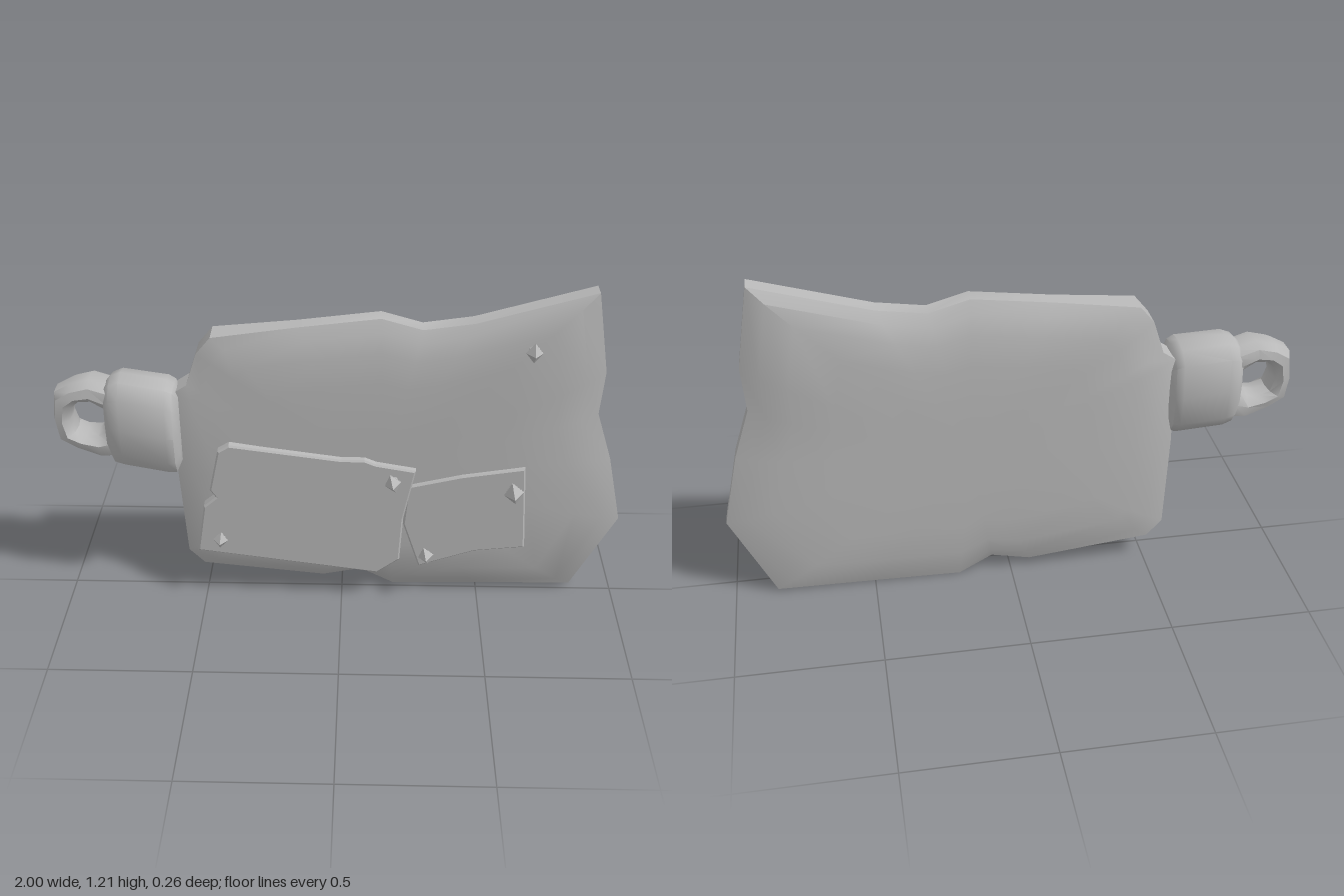
import * as THREE from 'three';
import { toCreasedNormals } from 'three/addons/utils/BufferGeometryUtils.js';

const metal = new THREE.MeshStandardMaterial({ color: 0xb8b8b8 });
metal.name = 'grey metal';

// Skin a list of equal-length rings of [x, y, z]; either cap the ends or join them
function loft(rings, closed, crease = 0.6) {
  const n = rings[0].length, m = rings.length, index = [];
  const points = rings.flat();
  for (let j = 0; j < (closed ? m : m - 1); j++) {
    const a = j * n, b = ((j + 1) % m) * n;
    for (let i = 0; i < n; i++) {
      const k = (i + 1) % n;
      index.push(a + i, a + k, b + k, a + i, b + k, b + i);
    }
  }
  if (!closed) {
    for (const end of [0, m - 1]) {
      const c = points.length;
      points.push([0, 1, 2].map((d) => rings[end].reduce((s, p) => s + p[d], 0) / n));
      for (let i = 0; i < n; i++) {
        const p = end * n + i, q = end * n + (i + 1) % n;
        index.push(c, ...(end === 0 ? [q, p] : [p, q]));
      }
    }
  }
  const g = new THREE.BufferGeometry();
  g.setAttribute('position', new THREE.Float32BufferAttribute(points.flat(), 3));
  g.setIndex(index);
  return toCreasedNormals(g, crease);
}

function add(parent, name, geometry) {
  const mesh = new THREE.Mesh(geometry, metal);
  mesh.name = name;
  parent.add(mesh);
  return mesh;
}

// Blade: the outline shrinks towards the middle while the faces swell
function bladeGeometry() {
  const outline = [
    [-0.575, 0.83], [-0.53, 0.86], [-0.49, 0.98], [-0.44, 1.04], [-0.15, 1.075], [0.13, 1.11],
    [0.27, 1.07], [0.44, 1.095], [0.84, 1.21], [0.89, 0.92], [0.88, 0.76], [0.94, 0.58],
    [1.0, 0.32], [0.85, 0.015], [0.5, 0.01], [0.19, 0.005], [0.07, 0.07], [-0.07, 0.04],
    [-0.51, 0.1], [-0.565, 0.16], [-0.58, 0.5],
  ];
  const [cx, cy] = [0.15, 0.56];
  const levels = [[0.3, 1], [0.6, 0.97], [0.8, 0.8], [0.92, 0.45], [1, 0]];
  const ring = (t, swell, side) => outline.map(([px, py]) => {
    const x = cx + (px - cx) * t, y = cy + (py - cy) * t;
    const mid = -0.05 + 0.025 * Math.min(1, py / 0.6);
    const rim = mid + side * (px < -0.4 ? 0.045 : 0.03);
    const full = side > 0 ? 0.053 : -0.113;
    return [x, y, rim + (full - rim) * swell];
  });
  return loft([
    ...levels.map(([t, s]) => ring(t, s, 1)),
    ...levels.reverse().map(([t, s]) => ring(t, s, -1)),
  ], false, 0.65);
}

// Collar: softened box section swept along x
function collarGeometry() {
  const stations = [ // x, bottom, top, back, front
    [-0.815, 0.59, 0.85, -0.095, 0.055],
    [-0.795, 0.553, 0.872, -0.12, 0.08],
    [-0.76, 0.543, 0.885, -0.13, 0.087],
    [-0.6, 0.525, 0.868, -0.12, 0.108],
    [-0.575, 0.525, 0.855, -0.11, 0.1],
    [-0.56, 0.56, 0.82, -0.08, 0.07],
  ];
  const section = [
    [0.97, 0.25], [1, 0.5], [0.97, 0.78], [0.82, 0.95], [0.5, 1], [0.2, 0.97], [0.04, 0.82],
    [0, 0.5], [0.04, 0.2], [0.18, 0.04], [0.5, 0], [0.85, 0.06],
  ];
  return loft(stations.map(([x, y0, y1, z0, z1]) =>
    section.map(([v, w]) => [x, y0 + (y1 - y0) * v, z0 + (z1 - z0) * w])), false, 0.8);
}

// Ring: section spans from the hole edge out to the outer edge
function loopGeometry() {
  const outer = [
    [-0.99, 0.65], [-1.0, 0.735], [-0.99, 0.82], [-0.935, 0.85], [-0.865, 0.87],
    [-0.76, 0.84], [-0.74, 0.72], [-0.76, 0.57], [-0.84, 0.57], [-0.93, 0.61],
  ];
  const inner = [
    [-0.925, 0.67], [-0.94, 0.715], [-0.93, 0.76], [-0.905, 0.785], [-0.865, 0.785],
    [-0.83, 0.76], [-0.81, 0.72], [-0.825, 0.685], [-0.85, 0.665], [-0.89, 0.66],
  ];
  const section = [
    [1, 0.03], [0.8, 0.068], [0.4, 0.075], [0.08, 0.045],
    [0, 0], [0.08, -0.045], [0.4, -0.075], [0.8, -0.068], [1, -0.03],
  ];
  return loft(outer.map(([ox, oy], i) => section.map(([s, z]) => [
    inner[i][0] + (ox - inner[i][0]) * s,
    inner[i][1] + (oy - inner[i][1]) * s,
    z - 0.025,
  ])), true, 0.9);
}

// Flat patch plate with a slim bevelled lip
function plateGeometry(points, back, front) {
  const shape = new THREE.Shape(points.map(([x, y]) => new THREE.Vector2(x, y)));
  const g = new THREE.ExtrudeGeometry(shape, {
    depth: front - back - 0.006, bevelEnabled: true, bevelSegments: 1,
    bevelThickness: 0.006, bevelSize: 0.006, bevelOffset: -0.006,
  });
  return g.translate(0, 0, back);
}

// Rivet: short stem under a four-sided spike
function rivet(x, y, z, size, turn) {
  const group = new THREE.Group();
  group.name = 'rivet';
  const stem = new THREE.CylinderGeometry(0.02, 0.02, 0.07, 6).toNonIndexed();
  stem.computeVertexNormals();
  add(group, 'rivetStem', stem.rotateX(Math.PI / 2).translate(0, 0, -0.025));
  const spike = new THREE.ConeGeometry(0.037, 0.036, 4).toNonIndexed();
  spike.computeVertexNormals();
  const head = add(group, 'rivetSpike', spike.rotateX(Math.PI / 2).translate(0, 0, 0.024));
  head.scale.set(0.78, 1, 1);
  const under = new THREE.CylinderGeometry(0.037, 0.024, 0.014, 4).toNonIndexed();
  under.computeVertexNormals();
  add(group, 'rivetBase', under.rotateX(Math.PI / 2)).scale.set(0.78, 1, 1);
  group.position.set(x, y, z);
  group.rotation.z = turn;
  group.scale.setScalar(size);
  return group;
}

export function createModel() {
  const model = new THREE.Group();
  model.name = 'slabBlade';
  add(model, 'blade', bladeGeometry());
  add(model, 'collar', collarGeometry());
  add(model, 'gripRing', loopGeometry());

  add(model, 'largePatch', plateGeometry([
    [-0.52, 0.21], [-0.49, 0.4], [-0.445, 0.44], [-0.465, 0.47], [-0.43, 0.63], [-0.39, 0.655],
    [0.0, 0.602], [0.08, 0.602], [0.12, 0.585], [0.26, 0.56], [0.22, 0.36], [0.21, 0.18],
    [0.13, 0.12],
  ], 0.02, 0.077));
  add(model, 'smallPatch', plateGeometry([
    [0.235, 0.49], [0.42, 0.535], [0.64, 0.57], [0.66, 0.235], [0.48, 0.215], [0.28, 0.145],
    [0.22, 0.33],
  ], 0.02, 0.066));

  const rivets = [
    [0.635, 1.02, 0.06, 1, 0], [0.18, 0.52, 0.088, 1.05, 0.3], [0.605, 0.475, 0.07, 1.25, 0.2],
    [-0.435, 0.265, 0.08, 0.95, -0.1], [0.305, 0.2, 0.07, 1, 0.25],
  ];
  rivets.forEach((r) => model.add(rivet(...r)));
  return model;
}
